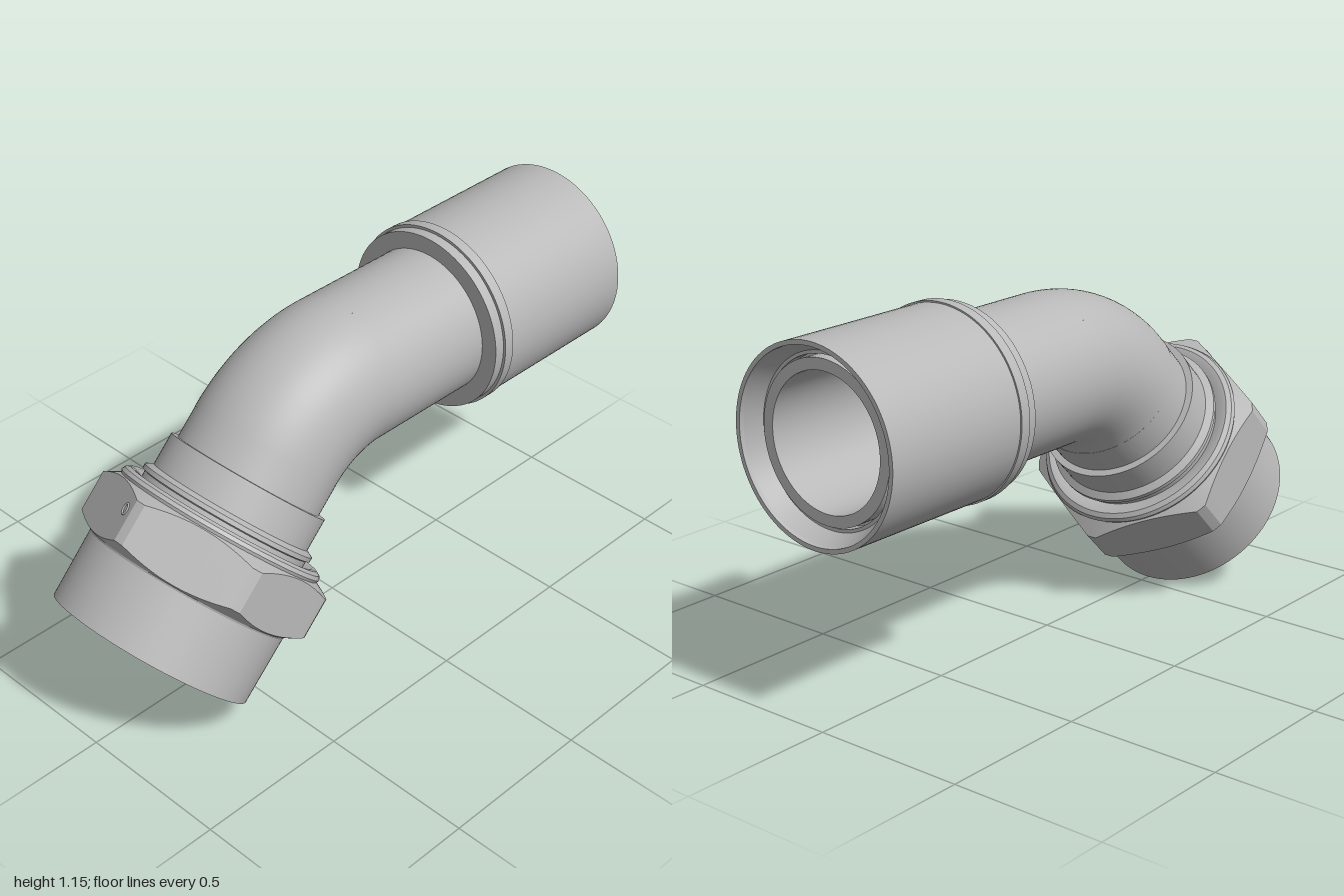
import * as THREE from 'three';
import { toCreasedNormals } from 'three/addons/utils/BufferGeometryUtils.js';

const PIPE = 0.24, BORE = 0.205, AXIS_Y = 0.85, BEND_R = 0.427, BEND_X = 0.02;

// Revolved profile of [radius, height] points, with sharp edges kept
function lathe(points, segments = 96) {
  return new THREE.LatheGeometry(points.map(p => new THREE.Vector2(p[0], p[1])), segments);
}

// Quarter-right bend centre line, from the straight pipe down to the angled stem
class BendCurve extends THREE.Curve {
  getPoint(t, target = new THREE.Vector3()) {
    const a = Math.PI / 2 + t * Math.PI / 4;
    return target.set(BEND_X + BEND_R * Math.cos(a), AXIS_Y - BEND_R + BEND_R * Math.sin(a), 0);
  }
}

// Nut: a round profile whose two middle rows are pushed out to a chamfered hexagon
function nutGeometry() {
  const apothem = 0.34, hexRows = [7, 8];
  const profile = [
    [0.275, 0.28], [0.3, 0.28], [0.3, 0.015], [0.312, 0], [0.327, 0], [0.329, 0.22], [0.332, 0.226],
    [0.34, 0.23], [0.34, 0.41],
    [0.333, 0.413], [0.337, 0.422], [0.331, 0.434], [0.316, 0.442], [0.3, 0.44], [0.275, 0.43],
  ];
  const g = lathe(profile, 144);
  const pos = g.attributes.position;
  for (let i = 0; i < pos.count; i++) {
    const row = hexRows.indexOf(i % profile.length);
    if (row < 0) continue;
    const a = Math.atan2(pos.getZ(i), pos.getX(i));
    const sector = Math.PI / 3;
    const off = a - (Math.floor(a / sector) + 0.5) * sector;
    const r = Math.min(apothem / Math.cos(off), 0.383);
    const slope = (r - apothem) * 0.577;
    pos.setXYZ(i, r * Math.cos(a), row === 0 ? 0.23 + slope : 0.41 - slope, r * Math.sin(a));
  }
  return toCreasedNormals(g, 0.4);
}

export function createModel() {
  const model = new THREE.Group();
  model.name = 'pipeElbowFitting';
  const steel = new THREE.MeshStandardMaterial({ color: 0xb8b8b8, side: THREE.DoubleSide });
  steel.name = 'steelGrey';

  const add = (parent, name, geometry) => {
    const mesh = new THREE.Mesh(geometry, steel);
    mesh.name = name;
    parent.add(mesh);
    return mesh;
  };

  // Horizontal end: local y runs along +x
  const straightEnd = new THREE.Group();
  straightEnd.name = 'straightEnd';
  straightEnd.position.y = AXIS_Y;
  straightEnd.rotation.z = -Math.PI / 2;
  model.add(straightEnd);

  add(straightEnd, 'straightPipe', toCreasedNormals(lathe([
    [PIPE, BEND_X], [PIPE, 0.95], [BORE, 0.95], [BORE, BEND_X],
  ]), 0.5));

  add(straightEnd, 'sleeve', toCreasedNormals(lathe([
    [PIPE, 0.41], [0.295, 0.41], [0.295, 0.445], [0.304, 0.445], [0.304, 0.48], [0.299, 0.48],
    [0.299, 1], [0.285, 1], [0.285, 0.985], [0.257, 0.935], [0.247, 0.935], [0.247, 0.9], [PIPE, 0.9],
  ]), 0.4));

  // Bend, outer wall and bore
  const bend = new BendCurve();
  add(model, 'bendOuter', new THREE.TubeGeometry(bend, 32, PIPE, 96));
  add(model, 'bendBore', new THREE.TubeGeometry(bend, 32, BORE, 96));

  // Angled end: local y runs up and to the right at 45 degrees
  const nutEnd = new THREE.Group();
  nutEnd.name = 'nutEnd';
  nutEnd.position.set(-0.77, 0.2355, 0);
  nutEnd.rotation.z = -Math.PI / 4;
  model.add(nutEnd);

  add(nutEnd, 'stem', toCreasedNormals(lathe([
    [BORE, 0.15], [0.24, 0.15], [0.275, 0.25], [0.275, 0.452], [0.285, 0.456], [0.285, 0.47],
    [0.262, 0.482], [0.262, 0.587], [PIPE, 0.587], [PIPE, 0.692], [BORE, 0.692], [BORE, 0.15],
  ]), 0.4));
  add(nutEnd, 'hexNut', nutGeometry());

  // Small pin mark on the upper rear flat of the nut
  const mark = add(nutEnd, 'pinMark', new THREE.TorusGeometry(0.016, 0.004, 8, 24));
  mark.position.set(-0.361, 0.345, -0.055);
  mark.quaternion.setFromUnitVectors(
    new THREE.Vector3(0, 0, 1), new THREE.Vector3(-Math.sqrt(3) / 2, 0, -0.5));

  return model;
}
